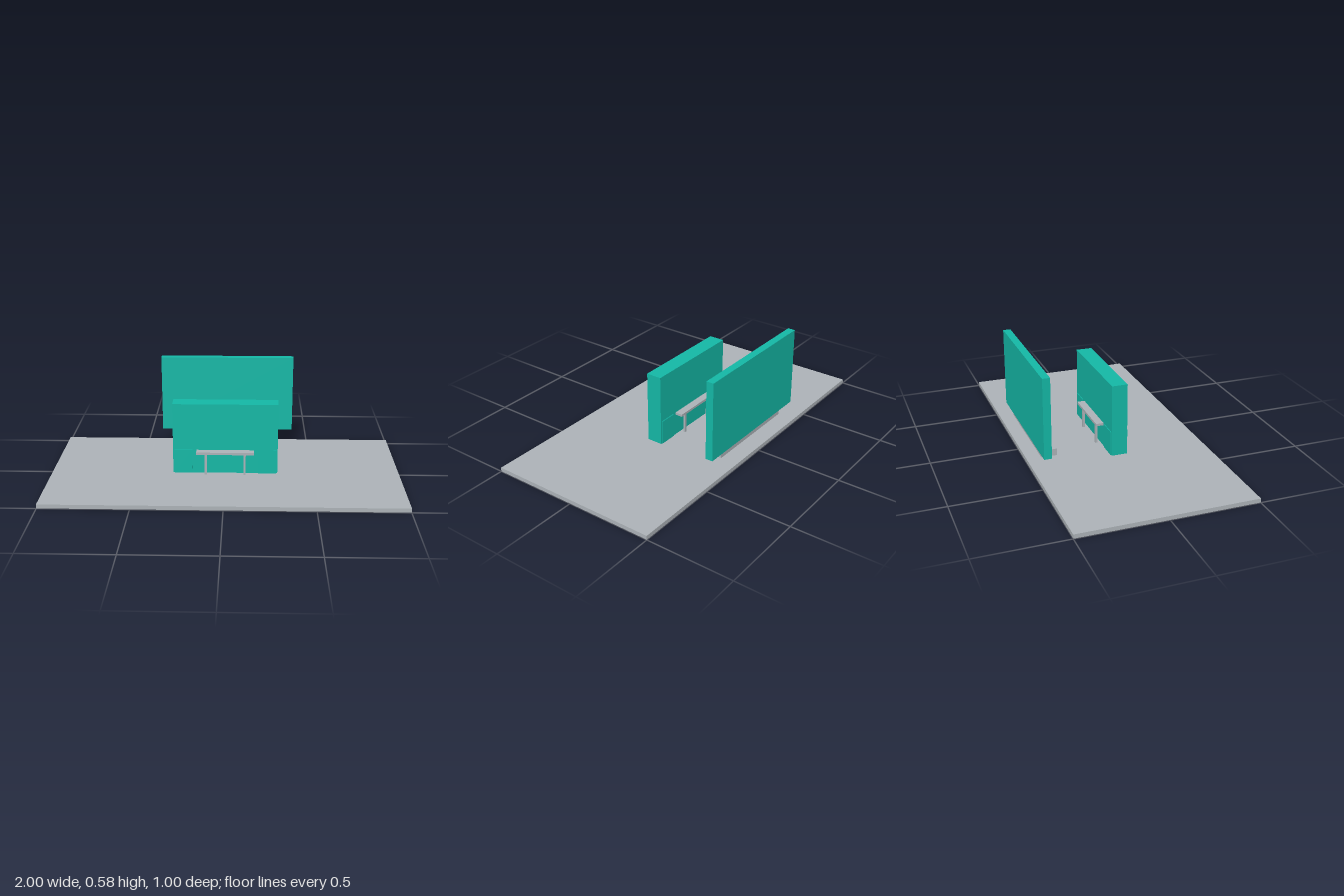
import * as THREE from 'three';

export function createModel() {
  const group = new THREE.Group();
  const teal = new THREE.MeshStandardMaterial({ name: 'teal', color: 0x14b8a6 });
  const grey = new THREE.MeshStandardMaterial({ name: 'grey', color: 0xadb3b8 });

  // Box given by its extents on each axis
  function box(name, material, [x0, x1], [y0, y1], [z0, z1]) {
    const mesh = new THREE.Mesh(new THREE.BoxGeometry(x1 - x0, y1 - y0, z1 - z0), material);
    mesh.position.set((x0 + x1) / 2, (y0 + y1) / 2, (z0 + z1) / 2);
    mesh.name = name;
    group.add(mesh);
  }

  // Floor slab, with the central wall reaching through to its underside
  box('floor', grey, [-1, 1], [0.001, 0.024], [-0.5, 0.5]);
  box('centralWall', teal, [-0.3, 0.3], [0, 0.44], [-0.045, 0.045]);

  // Raised panels wrapping the lower ends of the wall
  for (const s of [-1, 1]) {
    box('lowerPanel', teal, [s * 0.24 - 0.052, s * 0.24 + 0.052], [0.024, 0.165], [-0.049, 0.049]);
  }

  // A narrow bench on two square legs along each side of the wall
  for (const s of [-1, 1]) {
    const z = s * 0.067;
    box('benchTop', grey, [-0.165, 0.165], [0.151, 0.165], [z - 0.022, z + 0.022]);
    for (const x of [-0.111, 0.111]) {
      const legZ = s * 0.07;
      box('benchLeg', grey, [x - 0.0065, x + 0.0065], [0.024, 0.151], [legZ - 0.0065, legZ + 0.0065]);
    }
  }

  // Floating back board with its ledge
  box('backBoard', teal, [-0.4, 0.4], [0.12, 0.58], [-0.462, -0.419]);
  box('backLedge', grey, [-0.295, 0.295], [0.081, 0.12], [-0.447, -0.36]);

  return group;
}
